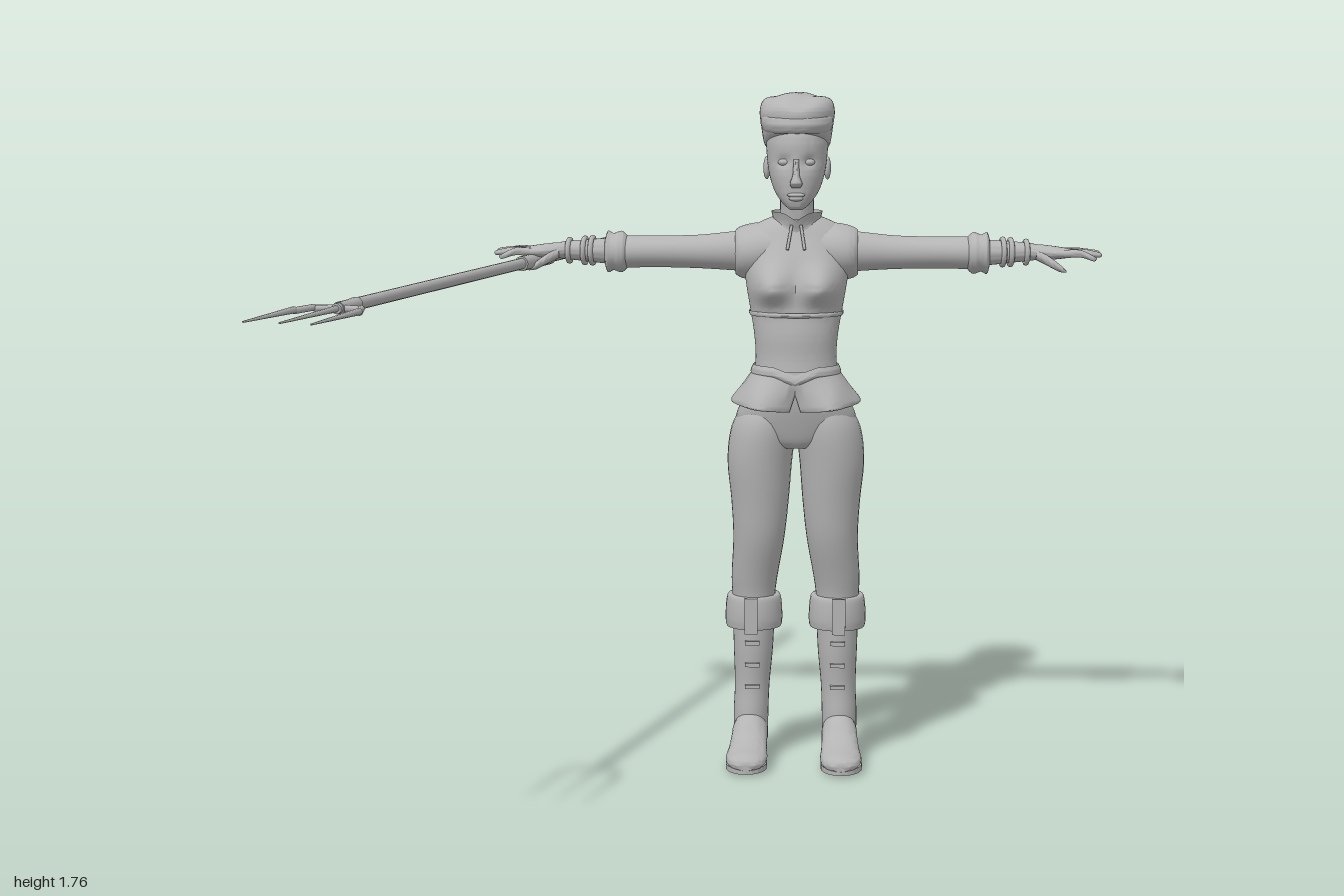
import * as THREE from 'three';
import { toCreasedNormals } from 'three/addons/utils/BufferGeometryUtils.js';

const grey = new THREE.MeshStandardMaterial({ color: 0xb4b4b4, side: THREE.DoubleSide });
grey.name = 'plain grey';

// Smooth interpolation through a list of rows
function sample(rows, u) {
  const f = u * (rows.length - 1), i = Math.min(Math.floor(f), rows.length - 2), t = f - i;
  const p = (k) => rows[Math.max(0, Math.min(rows.length - 1, k))];
  return rows[0].map((_, c) => {
    const [a, b, d, e] = [p(i - 1)[c], p(i)[c], p(i + 1)[c], p(i + 2)[c]];
    const v = b + 0.5 * t * (d - a + t * (2 * a - 5 * b + 4 * d - e + t * (3 * (b - d) + e - a)));
    return Math.max(Math.min(b, d) - 0.004, Math.min(Math.max(b, d) + 0.004, v));
  });
}

// Skin over elliptical rings [t, a, b, radiusA, radiusB] along an axis:
// y: a = x, b = z;  x: a = z, b = y;  z: a = y, b = x
function loft(rows, { axis = 'y', seg = 28, steps = 4, cap = true, bend = null } = {}) {
  const n = (rows.length - 1) * steps, rings = [];
  for (let i = 0; i <= n; i++) rings.push(sample(rows, i / n));
  if (cap) {
    const flat = (r) => [r[0], r[1], r[2], 0, 0];
    rings.unshift(flat(rings[0]));
    rings.push(flat(rings[rings.length - 1]));
  }
  const pos = [], idx = [];
  rings.forEach(([t, a, b, ra, rb], i) => {
    for (let j = 0; j <= seg; j++) {
      const th = ((j % seg) / seg) * Math.PI * 2;
      const A = a + Math.max(ra, 0) * Math.cos(th), B = b + Math.max(rb, 0) * Math.sin(th);
      const v = new THREE.Vector3(...(axis === 'y' ? [A, t, B] : axis === 'x' ? [t, B, A] : [B, A, t]));
      if (bend) bend(v);
      pos.push(v.x, v.y, v.z);
      if (i && j) {
        const q = i * (seg + 1) + j, p = q - seg - 1;
        idx.push(p - 1, q - 1, p, p, q - 1, q);
      }
    }
  });
  const g = new THREE.BufferGeometry();
  g.setAttribute('position', new THREE.Float32BufferAttribute(pos, 3));
  g.setIndex(idx);
  return toCreasedNormals(g, 0.9);
}

// Tapered round bar between two points
function rod(p, q, r1, r2 = r1, seg = 10) {
  const a = new THREE.Vector3(...p), d = new THREE.Vector3(...q).sub(a);
  const g = new THREE.CylinderGeometry(r2, r1, d.length(), seg);
  g.translate(0, d.length() / 2, 0);
  g.applyQuaternion(new THREE.Quaternion().setFromUnitVectors(new THREE.Vector3(0, 1, 0), d.normalize()));
  return g.translate(a.x, a.y, a.z);
}
const ball = (x, y, z, rx, ry, rz) => new THREE.SphereGeometry(1, 18, 12).scale(rx, ry, rz).translate(x, y, z);
const box = (x, y, z, w, h, d) => new THREE.BoxGeometry(w, h, d).translate(x, y, z);
// Ring given by its front and back depth
const row = (y, x, rx, front, back) => [y, x, (front + back) / 2, rx, (front - back) / 2];

function mirrored(geo) {
  const g = geo.index ? geo.toNonIndexed() : geo.clone();
  g.scale(-1, 1, 1);
  for (const at of [g.attributes.position, g.attributes.normal]) {
    for (let i = 0; i < at.count; i += 3) {
      const t = [at.getX(i + 1), at.getY(i + 1), at.getZ(i + 1)];
      at.setXYZ(i + 1, at.getX(i + 2), at.getY(i + 2), at.getZ(i + 2));
      at.setXYZ(i + 2, ...t);
    }
  }
  return g;
}

export function createModel() {
  const model = new THREE.Group(), body = new THREE.Group();
  body.name = 'figure';
  body.position.x = 0.18;
  model.add(body);
  const add = (name, geo, parent = body) => {
    const m = new THREE.Mesh(geo, grey);
    m.name = name;
    parent.add(m);
  };
  const pair = (name, geo) => { add(name + 'Left', geo); add(name + 'Right', mirrored(geo)); };

  // Bodice with a shaped bust
  add('bodice', loft([
    row(1.02, 0, 0.108, -0.305, -0.488), row(1.08, 0, 0.104, -0.313, -0.482), row(1.14, 0, 0.108, -0.313, -0.484),
    row(1.2, 0, 0.118, -0.32, -0.5), row(1.27, 0, 0.13, -0.325, -0.525), row(1.34, 0, 0.14, -0.345, -0.55),
    row(1.39, 0, 0.135, -0.37, -0.553), row(1.42, 0, 0.1, -0.385, -0.54), row(1.44, 0, 0.055, -0.4, -0.51),
  ], { seg: 64, steps: 8, bend: (v) => {
    if (v.z < -0.43) return;
    const dx = (Math.abs(v.x) - 0.066) / 0.042, dy = (v.y - 1.262) / (v.y < 1.262 ? 0.036 : 0.05);
    v.z += 0.052 * Math.exp(-(dx * dx + dy * dy) * 0.8);
  } }));
  pair('vestShoulder', loft([
    [0.04, -0.46, 1.36, 0.09, 0.06], [0.1, -0.46, 1.348, 0.095, 0.073],
    [0.14, -0.46, 1.345, 0.088, 0.068], [0.158, -0.46, 1.345, 0.072, 0.058],
  ], { axis: 'x' }));
  add('underbustSeam', loft([
    row(1.188, 0, 0.119, -0.313, -0.499), row(1.194, 0, 0.122, -0.309, -0.502), row(1.2, 0, 0.121, -0.313, -0.502),
  ], { cap: false, seg: 40 }));
  add('belt', loft([
    row(1.035, 0, 0.113, -0.298, -0.492), row(1.045, 0, 0.117, -0.293, -0.497), row(1.062, 0, 0.11, -0.302, -0.49),
  ], { cap: false, seg: 48, bend: (v) => { if (v.z > -0.4) v.y -= Math.max(0, 0.02 - Math.abs(v.x) * 0.35); } }));
  // Flared vest skirt, split at the front
  add('vestSkirt', loft([
    row(0.955, 0, 0.163, -0.283, -0.53), row(0.962, 0, 0.166, -0.28, -0.533),
    row(1.0, 0, 0.14, -0.285, -0.515), row(1.05, 0, 0.109, -0.303, -0.49),
  ], { cap: false, seg: 72, bend: (v) => {
    const k = (1.05 - v.y) / 0.095;
    if (v.z > -0.4) {
      const ax = Math.abs(v.x);
      v.z += k * (0.03 * Math.exp(-(((ax - 0.1) / 0.04) ** 2)) - 0.03 * Math.exp(-((ax / 0.035) ** 2)));
      if (ax < 0.014) v.y += 0.045 * k;
      v.y += k * (ax * 0.1 - 0.01);
    } else v.y += k * 0.012;
  } }));
  // Stand-up collar and its tie
  add('collar', loft([
    row(1.405, 0, 0.075, -0.375, -0.535), row(1.425, 0, 0.062, -0.375, -0.525), row(1.452, 0, 0.066, -0.365, -0.528),
  ], { cap: false, bend: (v) => { if (v.z > -0.42) v.y -= Math.max(0, 0.02 - Math.abs(v.x) * 0.6); } }));
  pair('collarTie', rod([0.012, 1.42, -0.37], [0.022, 1.36, -0.345], 0.004));

  // Trousers
  add('hips', loft([
    row(0.845, 0, 0.06, -0.36, -0.49), row(0.865, 0, 0.12, -0.345, -0.51), row(0.91, 0, 0.155, -0.33, -0.525),
    row(0.96, 0, 0.142, -0.318, -0.512), row(1.03, 0, 0.105, -0.31, -0.488),
  ], { seg: 40 }));
  pair('trouserLeg', loft([
    row(0.4, 0.11, 0.053, -0.41, -0.535), row(0.45, 0.11, 0.057, -0.405, -0.53), row(0.5, 0.107, 0.061, -0.393, -0.521),
    row(0.6, 0.096, 0.067, -0.365, -0.51), row(0.7, 0.093, 0.075, -0.35, -0.513), row(0.8, 0.094, 0.084, -0.337, -0.53),
    row(0.88, 0.086, 0.085, -0.332, -0.542), row(0.93, 0.075, 0.075, -0.34, -0.528), row(0.97, 0.06, 0.05, -0.36, -0.5),
  ]));

  // Boots with turned-down tops
  pair('bootShaft', loft([
    row(0.05, 0.117, 0.045, -0.42, -0.528), row(0.12, 0.117, 0.046, -0.415, -0.53), row(0.2, 0.114, 0.046, -0.42, -0.529),
    row(0.3, 0.111, 0.052, -0.41, -0.537), row(0.42, 0.11, 0.056, -0.408, -0.54),
  ]));
  pair('bootTop', loft([
    row(0.365, 0.11, 0.055, -0.41, -0.538), row(0.355, 0.11, 0.072, -0.4, -0.555), row(0.39, 0.11, 0.075, -0.396, -0.561),
    row(0.437, 0.11, 0.07, -0.4, -0.552), row(0.442, 0.11, 0.057, -0.41, -0.538),
  ], { cap: false }));
  pair('bootStrap', box(0.115, 0.395, -0.394, 0.034, 0.095, 0.012));
  for (const y of [0.2, 0.26, 0.32]) pair('bootLace', box(0.112, y, -0.417 + (y - 0.2) * 0.08, 0.038, 0.01, 0.012));
  pair('bootFoot', loft([
    [-0.533, 0.06, 0.117, 0.03, 0.026], [-0.5, 0.068, 0.117, 0.05, 0.043], [-0.43, 0.072, 0.118, 0.056, 0.047],
    [-0.4, 0.064, 0.119, 0.052, 0.047], [-0.36, 0.045, 0.121, 0.036, 0.05], [-0.31, 0.035, 0.123, 0.027, 0.054],
    [-0.27, 0.032, 0.123, 0.022, 0.046], [-0.25, 0.028, 0.123, 0.012, 0.024],
  ], { axis: 'z' }));
  const sole = new THREE.Shape();
  sole.moveTo(0.085, 0.53);
  sole.bezierCurveTo(0.07, 0.46, 0.085, 0.42, 0.07, 0.34);
  sole.bezierCurveTo(0.062, 0.22, 0.185, 0.22, 0.178, 0.34);
  sole.bezierCurveTo(0.165, 0.42, 0.165, 0.46, 0.15, 0.53);
  const soleGeo = new THREE.ExtrudeGeometry(sole, { depth: 0.014, bevelEnabled: false, curveSegments: 10 });
  pair('bootSole', soleGeo.rotateX(-Math.PI / 2).translate(0, 0.006, 0));
  pair('bootHeel', loft([row(0, 0.117, 0.037, -0.45, -0.53), row(0.045, 0.117, 0.042, -0.435, -0.533)]));

  // Sleeves, frilled cuffs and wrists
  pair('sleeve', loft([
    [0.1, -0.46, 1.348, 0.055, 0.056], [0.17, -0.46, 1.347, 0.054, 0.05], [0.26, -0.46, 1.345, 0.048, 0.043],
    [0.37, -0.46, 1.345, 0.05, 0.041], [0.45, -0.46, 1.344, 0.052, 0.042], [0.48, -0.46, 1.344, 0.046, 0.04],
  ], { axis: 'x' }));
  pair('cuff', loft([
    [0.44, -0.46, 1.344, 0.05, 0.042], [0.455, -0.46, 1.344, 0.06, 0.054], [0.475, -0.46, 1.344, 0.055, 0.048],
    [0.49, -0.46, 1.344, 0.056, 0.054], [0.497, -0.46, 1.344, 0.036, 0.034],
  ], { axis: 'x' }));
  pair('forearm', loft([
    [0.47, -0.46, 1.345, 0.037, 0.035], [0.55, -0.458, 1.347, 0.03, 0.028], [0.61, -0.455, 1.348, 0.025, 0.022],
  ], { axis: 'x' }));
  for (const [x, r] of [[0.53, 0.037], [0.55, 0.036], [0.59, 0.032]])
    pair('wristBand', new THREE.TorusGeometry(r - 0.004, 0.007, 8, 24).rotateY(Math.PI / 2 + 0.12).translate(x, 1.347, -0.457));

  // Open hands with palms down
  pair('palm', loft([
    [0.59, -0.456, 1.348, 0.024, 0.021], [0.63, -0.452, 1.347, 0.034, 0.02],
    [0.67, -0.452, 1.346, 0.043, 0.016], [0.705, -0.455, 1.345, 0.041, 0.011],
  ], { axis: 'x' }));
  [[-0.422, -0.408, 0.768, 1.335], [-0.444, -0.44, 0.784, 1.342], [-0.467, -0.472, 0.78, 1.345], [-0.488, -0.5, 0.757, 1.345]]
    .forEach(([z0, z1, x, y]) => pair('finger', loft([
      [0.685, z0, 1.345, 0.011, 0.011], [(0.685 + x) / 2, (z0 + z1) / 2, 1.347, 0.01, 0.01],
      [x - 0.008, z1, y, 0.007, 0.007], [x, z1, y, 0.002, 0.002],
    ], { axis: 'x', seg: 10 })));
  pair('thumb', loft([
    [0.615, -0.435, 1.343, 0.015, 0.014], [0.645, -0.412, 1.328, 0.014, 0.013],
    [0.672, -0.4, 1.312, 0.01, 0.01], [0.69, -0.395, 1.303, 0.003, 0.003],
  ], { axis: 'x', seg: 12 }));

  // Neck and head, with hollowed eye sockets
  add('neck', loft([
    row(1.4, 0, 0.056, -0.4, -0.525), row(1.45, 0, 0.044, -0.392, -0.508),
    row(1.5, 0, 0.045, -0.385, -0.503), row(1.56, 0, 0.05, -0.38, -0.505),
  ]));
  add('head', loft([
    row(1.461, 0, 0.016, -0.342, -0.38), row(1.475, 0, 0.034, -0.333, -0.425), row(1.505, 0, 0.056, -0.329, -0.475),
    row(1.545, 0, 0.07, -0.328, -0.507), row(1.59, 0, 0.077, -0.333, -0.523), row(1.64, 0, 0.079, -0.336, -0.525),
    row(1.69, 0, 0.07, -0.36, -0.51), row(1.72, 0, 0.035, -0.39, -0.47),
  ], { seg: 48, steps: 6, bend: (v) => {
    if (v.z > -0.4) v.z -= 0.012 * Math.exp(-(((Math.abs(v.x) - 0.032) / 0.016) ** 2) - ((v.y - 1.583) / 0.013) ** 2);
  } }));
  add('nose', loft([
    [1.519, 0, -0.324, 0.011, 0.01], [1.53, 0, -0.32, 0.016, 0.019],
    [1.55, 0, -0.324, 0.009, 0.015], [1.59, 0, -0.336, 0.007, 0.011],
  ], { seg: 14 }));
  add('upperLip', ball(0, 1.5, -0.331, 0.023, 0.006, 0.01));
  add('lowerLip', ball(0, 1.491, -0.332, 0.018, 0.007, 0.01));
  pair('eye', ball(0.032, 1.582, -0.353, 0.015, 0.009, 0.011));
  pair('eyebrow', ball(0.034, 1.603, -0.346, 0.021, 0.005, 0.009).rotateZ(0.02));
  pair('ear', ball(0.078, 1.563, -0.445, 0.009, 0.03, 0.018));

  // Headscarf, lower at the nape, knotted behind
  add('headscarf', loft([
    row(1.62, 0, 0.078, -0.338, -0.528), row(1.632, 0, 0.086, -0.326, -0.533), row(1.67, 0, 0.092, -0.32, -0.532),
    row(1.705, 0, 0.096, -0.325, -0.528), row(1.735, 0, 0.087, -0.35, -0.515), row(1.749, 0, 0.06, -0.375, -0.485),
    row(1.752, 0, 0.02, -0.41, -0.45),
  ], { seg: 40, steps: 5, bend: (v) => {
    const k = Math.min(1, Math.max(0, (1.74 - v.y) / 0.12));
    v.y += k * (v.z + 0.43) * 0.4 + 0.004 * Math.sin(v.x * 60 + v.z * 25) * (1 - k);
  } }));
  add('scarfBrow', loft([
    row(1.655, 0, 0.082, -0.326, -0.5), row(1.665, 0, 0.09, -0.317, -0.51), row(1.685, 0, 0.094, -0.315, -0.51),
    row(1.7, 0, 0.092, -0.328, -0.51),
  ]));
  add('scarfKnot', ball(0, 1.597, -0.532, 0.02, 0.016, 0.014));
  pair('scarfTail', rod([0.004, 1.597, -0.535], [0.022, 1.54, -0.562], 0.007, 0.011, 8));

  // Long pitchfork held under the right hand
  const fork = new THREE.Group();
  fork.name = 'pitchfork';
  model.add(fork);
  const butt = new THREE.Vector3(-0.347, 1.325, -0.997), neck = new THREE.Vector3(-0.81, 1.314, 0.69);
  const at = (z) => butt.clone().lerp(neck, (z - butt.z) / (neck.z - butt.z)).toArray();
  add('shaft', rod(at(-0.997), at(0.69), 0.0145, 0.0145, 14), fork);
  add('buttGrip', rod(at(-0.997), at(-0.83), 0.017, 0.016, 14), fork);
  add('handGrip', rod(at(-0.54), at(-0.35), 0.019, 0.019, 14), fork);
  add('socket', rod(at(0.6), at(0.7), 0.0165, 0.012, 14), fork);
  const tines = [
    [[-0.81, 0.682], [-0.868, 0.668], [-0.902, 0.725], [-0.967, 0.955]],
    [[-0.808, 0.68], [-0.885, 0.975]],
    [[-0.81, 0.682], [-0.758, 0.692], [-0.752, 0.755], [-0.813, 0.998]],
  ];
  for (const pts of tines) {
    for (let i = 1; i < pts.length; i++) {
      const p = [pts[i - 1][0], 1.314, pts[i - 1][1]], q = [pts[i][0], 1.312, pts[i][1]];
      add('tine', rod(p, q, 0.008, i === pts.length - 1 ? 0.002 : 0.008, 8), fork);
    }
  }
  return model;
}
